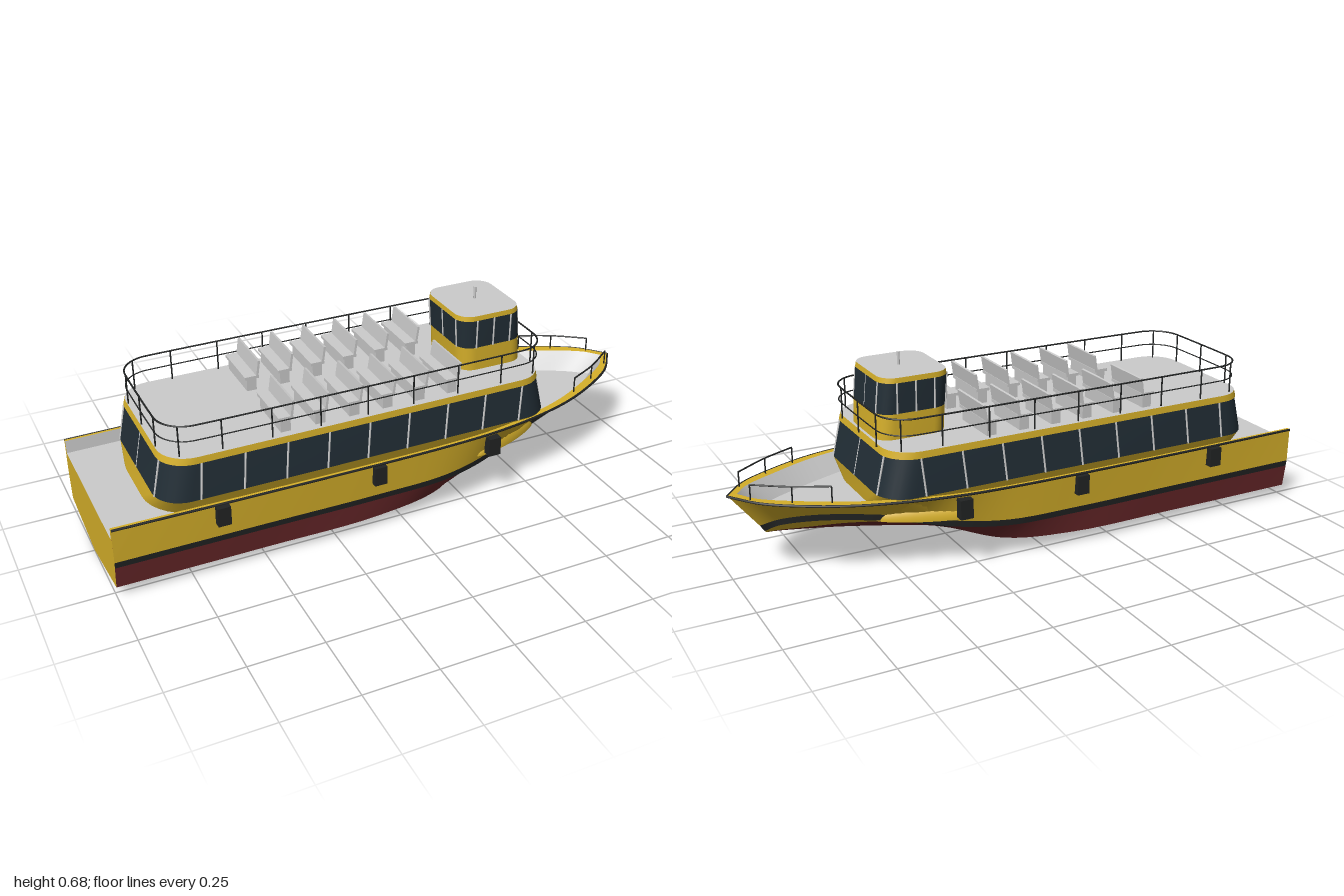
import * as THREE from 'three';
import { toCreasedNormals } from 'three/addons/utils/BufferGeometryUtils.js';

const V = (x, y, z) => new THREE.Vector3(x, y, z);
const mat = (color) => new THREE.MeshStandardMaterial({ color, side: THREE.DoubleSide });

export function createModel() {
  const boat = new THREE.Group();
  const yellow = mat(0xd6b02a), red = mat(0x6a282a), black = mat(0x222424);
  const glass = mat(0x222e36), grey = mat(0xcccccc);

  const add = (name, geo, material, parent = boat) => {
    const mesh = new THREE.Mesh(geo, material);
    mesh.name = name;
    parent.add(mesh);
    return mesh;
  };
  const group = (name) => {
    const g = new THREE.Group();
    g.name = name;
    boat.add(g);
    return g;
  };

  // Surface between two rows of points; faces outward when a is below b and both run forward on +z
  const strip = (a, b) => {
    const pos = [], idx = [], n = a.length;
    for (const p of [...a, ...b]) pos.push(p.x, p.y, p.z);
    for (let i = 0; i < n - 1; i++) idx.push(i, i + 1, n + i + 1, i, n + i + 1, n + i);
    const g = new THREE.BufferGeometry();
    g.setAttribute('position', new THREE.Float32BufferAttribute(pos, 3));
    g.setIndex(idx);
    return toCreasedNormals(g, 0.6);
  };
  const flip = (row) => row.map((p) => V(p.x, p.y, -p.z));
  const bothSides = (name, a, b, m) => {
    add(name + 'Left', strip(a, b), m);
    add(name + 'Right', strip(flip(b), flip(a)), m);
  };
  const bar = (name, p, q, r, m, parent) => {
    const mesh = add(name, new THREE.CylinderGeometry(r, r, p.distanceTo(q), 8), m, parent);
    mesh.position.copy(p).lerp(q, 0.5);
    mesh.quaternion.setFromUnitVectors(V(0, 1, 0), q.clone().sub(p).normalize());
  };
  const box = (name, w, h, d, x, y, z, m, parent) => {
    const mesh = add(name, new THREE.BoxGeometry(w, h, d), m, parent);
    mesh.position.set(x, y, z);
    return mesh;
  };

  // Hull lines, each with ten stations from stern to stem
  const X = [-1, -0.5, -0.1, 0.15, 0.32, 0.47, 0.62, 0.75, 0.85];
  const XS = [-1, -0.5, -0.1, 0.15, 0.32, 0.47, 0.65, 0.8, 0.92];
  const STEP = 6;
  const line = (xs, end, ys, zs) => new THREE.CatmullRomCurve3(
    [...xs, end].map((x, i) => V(x, ys[i], zs[i]))).getPoints(9 * STEP);
  const stripeY = [0.12, 0.12, 0.12, 0.125, 0.145, 0.17, 0.19, 0.195, 0.18, 0.145];
  const stripeZ = [0.289, 0.291, 0.293, 0.289, 0.262, 0.205, 0.158, 0.108, 0.055, 0];
  const sheerY = [0.265, 0.266, 0.268, 0.27, 0.273, 0.276, 0.28, 0.283, 0.287, 0.29];
  const sheerZ = [0.294, 0.302, 0.307, 0.306, 0.3, 0.281, 0.238, 0.172, 0.095, 0];
  const capW = [0.012, 0.012, 0.012, 0.012, 0.014, 0.02, 0.03, 0.038, 0.036, 0];
  const keel = line(X, 0.88, [0, 0, 0.003, 0.022, 0.048, 0.077, 0.105, 0.125, 0.138, 0.14], Array(10).fill(0));
  const chine = line(X, 0.88, [0.04, 0.04, 0.045, 0.062, 0.097, 0.122, 0.138, 0.143, 0.145, 0.14],
    [0.278, 0.278, 0.28, 0.245, 0.14, 0.08, 0.05, 0.03, 0.012, 0]);
  const stripeLow = line(X, 0.885, stripeY, stripeZ);
  const stripeTop = line(X, 0.9, stripeY.map((y) => y + 0.022), stripeZ.map((z) => z && z + 0.003));
  const sheer = line(XS, 0.997, sheerY, sheerZ);
  const capIn = line(XS, 0.965, sheerY, sheerZ.map((z, i) => z - capW[i]));
  const deckEdge = line(X, 0.92, Array(10).fill(0.22), [0.278, 0.286, 0.29, 0.287, 0.268, 0.222, 0.165, 0.108, 0.055, 0]);
  const deckMid = deckEdge.map((p) => V(p.x, p.y, 0));

  bothSides('hullBottom', keel, chine, red);
  // Lower hull side: red aft, a dark patch, then yellow under the bow
  for (const [name, m, s, e] of [['hullLowerSide', red, 0, 4], ['hullDarkPatch', black, 4, 5], ['bowUnderside', yellow, 5, 9]]) {
    const cut = (row) => row.slice(s * STEP, e * STEP + 1);
    bothSides(name, cut(chine), cut(stripeLow), m);
  }
  bothSides('hullStripe', stripeLow, stripeTop, black);
  bothSides('hullSide', stripeTop, sheer, yellow);
  bothSides('bulwarkCap', sheer, capIn, yellow);
  bothSides('bulwarkInside', capIn, deckEdge, grey);
  bothSides('deck', deckEdge, deckMid, grey);

  // Transom, with the ends of the bulwarks
  const sternRow = [keel, chine, stripeLow, stripeTop].map((l) => l[0]);
  sternRow.push(V(-1, 0.22, 0.293));
  add('transom', strip(flip(sternRow), sternRow), yellow);
  bothSides('bulwarkEnd', [V(-1, 0.22, 0.278), V(-1, 0.22, 0.293)], [capIn[0], sheer[0]], yellow);

  // Rubbing rail just below the sheer
  const railLine = sheer.map((p) => V(p.x, p.y - 0.003, p.z));
  for (const row of [railLine, flip(railLine)])
    add('rubbingRail', new THREE.TubeGeometry(new THREE.CatmullRomCurve3(row), 90, 0.0045, 6), black);

  // Rounded rectangular ring
  const ring = (x0, x1, hz, r, y) => {
    const pts = [], corners = [[x1 - r, r - hz], [x0 + r, r - hz], [x0 + r, hz - r], [x1 - r, hz - r]];
    corners.forEach(([cx, cz], k) => {
      for (let i = 0; i <= 8; i++) {
        const a = (k + i / 8) * Math.PI / 2;
        pts.push(V(cx + r * Math.cos(a), y, cz - r * Math.sin(a)));
      }
    });
    pts.push(pts[0].clone());
    return pts;
  };
  const lid = (name, pts, m, parent) => {
    const shape = new THREE.Shape(pts.slice(0, -1).map((p) => new THREE.Vector2(p.x, -p.z)));
    add(name, new THREE.ShapeGeometry(shape).rotateX(-Math.PI / 2), m, parent).position.y = pts[0].y;
  };

  // Passenger cabin
  const cabin = group('cabin');
  const winLow = ring(-0.835, 0.575, 0.274, 0.1, 0.28), winTop = ring(-0.81, 0.547, 0.266, 0.1, 0.407);
  const bandLow = ring(-0.813, 0.55, 0.269, 0.1, 0.407), bandTop = ring(-0.807, 0.545, 0.267, 0.1, 0.43);
  add('cabinBase', strip(ring(-0.848, 0.57, 0.25, 0.17, 0.215), winLow), yellow, cabin);
  add('cabinWindows', strip(winLow, winTop), glass, cabin);
  add('cabinRoofBand', strip(bandLow, bandTop), yellow, cabin);
  lid('cabinRoof', bandTop, grey, cabin);
  for (const s of [-1, 1])
    for (let i = 0; i < 9; i++) {
      const x = -0.7 + i * 0.143;
      bar('cabinMullion', V(x - 0.006, 0.28, s * 0.275), V(x + 0.006, 0.407, s * 0.267), 0.0035, grey, cabin);
    }
  for (const z of [-0.194, 0, 0.194]) {
    bar('cabinMullion', V(0.573, 0.28, z), V(0.545, 0.407, z), 0.0035, grey, cabin);
    bar('cabinMullion', V(-0.833, 0.28, z), V(-0.808, 0.407, z), 0.0035, grey, cabin);
  }

  // Wheelhouse
  const house = group('wheelhouse');
  const hLow = ring(0.285, 0.53, 0.134, 0.055, 0.515), hTop = ring(0.278, 0.52, 0.136, 0.055, 0.617);
  const hRoof = ring(0.28, 0.517, 0.134, 0.055, 0.634);
  add('wheelhouseBase', strip(ring(0.29, 0.535, 0.134, 0.055, 0.43), hLow), yellow, house);
  add('wheelhouseWindows', strip(hLow, hTop), glass, house);
  add('wheelhouseRoofBand', strip(hTop, hRoof), yellow, house);
  lid('wheelhouseRoof', hRoof, grey, house);
  for (const z of [-0.095, 0, 0.095]) {
    bar('wheelhouseMullion', V(0.528, 0.515, z), V(0.518, 0.617, z), 0.003, grey, house);
    bar('wheelhouseMullion', V(0.285, 0.515, z), V(0.278, 0.617, z), 0.003, grey, house);
  }
  for (const s of [-1, 1]) for (const x of [0.34, 0.405, 0.47])
    bar('wheelhouseMullion', V(x, 0.515, s * 0.136), V(x, 0.617, s * 0.138), 0.003, grey, house);
  bar('mast', V(0.405, 0.63, 0), V(0.405, 0.677, 0), 0.005, grey, house);

  // Roof railing
  const railing = group('roofRailing');
  for (const [y, r] of [[0.535, 0.003], [0.482, 0.0022]]) {
    const path = new THREE.CatmullRomCurve3(ring(-0.803, 0.553, 0.254, 0.1, y).slice(0, -1), true);
    add('rail', new THREE.TubeGeometry(path, 220, r, 6, true), black, railing);
  }
  const post = (x, z) => bar('railPost', V(x, 0.425, z), V(x, 0.535, z), 0.0027, black, railing);
  for (const s of [-1, 1]) {
    for (let i = 0; i < 7; i++) post(-0.62 + i * 0.165, s * 0.254);
    for (const x of [-0.803, 0.551]) post(x, s * 0.15);
    for (const x of [-0.755, 0.505]) post(x, s * 0.24);
  }
  post(-0.803, 0);
  post(0.552, 0);

  // Benches on the roof, six rows either side of the aisle
  const benches = group('benches');
  for (let i = 0; i < 6; i++) for (const s of [-1, 1]) {
    const x = -0.405 + i * 0.119, z = s * 0.15;
    box('benchBase', 0.034, 0.045, 0.18, x, 0.4525, z, grey, benches);
    box('benchSeat', 0.05, 0.01, 0.19, x, 0.479, z, grey, benches);
    box('benchBack', 0.008, 0.06, 0.19, x + 0.023, 0.507, z, grey, benches).rotation.z = -0.15;
  }

  // Fenders, bow handrails and side fairings
  for (const s of [-1, 1]) {
    for (const x of [-0.65, -0.11, 0.32]) box('fender', 0.044, 0.066, 0.032, x, 0.228, s * 0.307, black);

    const foot = [V(0.72, 0.283, s * 0.19), V(0.83, 0.285, s * 0.136), V(0.94, 0.288, s * 0.06)];
    const top = foot.map((p) => V(p.x, 0.338, p.z));
    foot.forEach((p, i) => bar('bowRailPost', p, top[i], 0.0025, black));
    add('bowRail', new THREE.TubeGeometry(new THREE.CatmullRomCurve3(top), 16, 0.003, 6), black);

    const fairing = group('sideFairing');
    add('fairingTop', new THREE.SphereGeometry(1, 24, 10, 0, Math.PI * 2, 0, Math.PI / 2), yellow, fairing);
    add('fairingBottom', new THREE.CircleGeometry(1, 24).rotateX(Math.PI / 2), yellow, fairing);
    fairing.scale.set(0.16, 0.055, 0.034);
    fairing.position.set(0.42, 0.18, s * 0.218);
    fairing.rotation.y = s * 0.38;
  }
  return boat;
}
